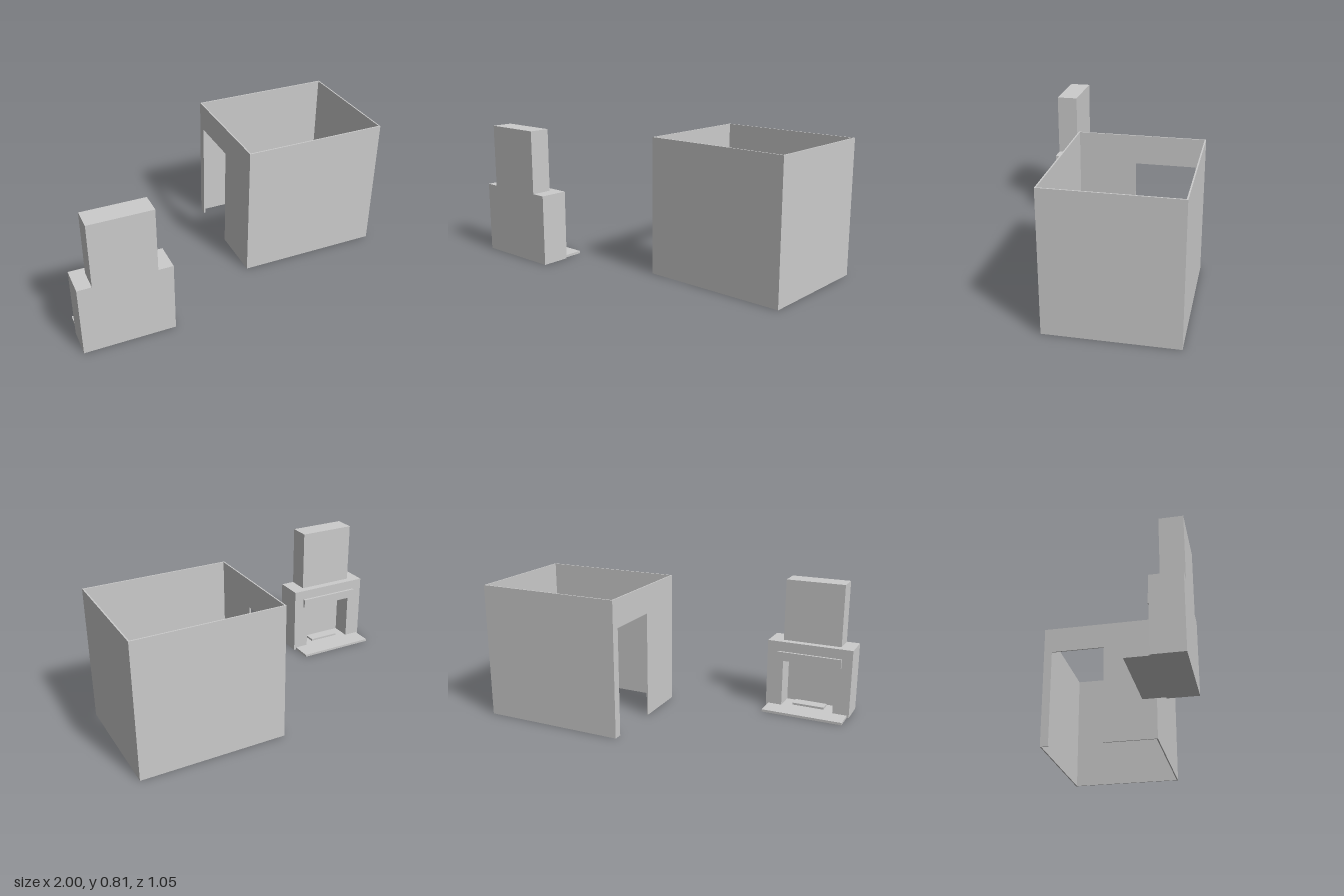
import * as THREE from 'three';

const material = new THREE.MeshStandardMaterial({ color: 0xcccccc, flatShading: true });

// Box given by its min and max along each axis
function box(name, [x0, x1], [y0, y1], [z0, z1]) {
  const mesh = new THREE.Mesh(new THREE.BoxGeometry(x1 - x0, y1 - y0, z1 - z0), material);
  mesh.position.set((x0 + x1) / 2, (y0 + y1) / 2, (z0 + z1) / 2);
  mesh.name = name;
  return mesh;
}

// Upright slab from a0 to a1 with a doorway from b0 to b1, open at the ground
function archSlab(a0, a1, height, b0, b1, openHeight, depth) {
  const points = [[a0, 0], [b0, 0], [b0, openHeight], [b1, openHeight],
    [b1, 0], [a1, 0], [a1, height], [a0, height]];
  const shape = new THREE.Shape(points.map(([x, y]) => new THREE.Vector2(x, y)));
  return new THREE.ExtrudeGeometry(shape, { depth, bevelEnabled: false });
}

function createRoom() {
  const room = new THREE.Group();
  room.name = 'room';
  const x0 = 0.128, x1 = 1, z0 = -0.527, z1 = 0.208, h = 0.813, t = 0.008;

  room.add(
    box('frontWall', [x0, x1], [0, h], [z1 - t, z1]),
    box('backWall', [x0, x1], [0, h], [z0, z0 + t]),
    box('leftWall', [x1 - t, x1], [0, h], [z0 + t, z1 - t]),
  );

  // Side wall with the doorway
  const geometry = archSlab(z0 + t, z1 - t, h, -0.475, -0.13, 0.645, t);
  geometry.rotateY(-Math.PI / 2);
  const doorWall = new THREE.Mesh(geometry, material);
  doorWall.position.x = x0 + t;
  doorWall.name = 'doorWall';
  room.add(doorWall);
  return room;
}

function createFireplace() {
  const fireplace = new THREE.Group();
  fireplace.name = 'fireplace';
  const x0 = -1, x1 = -0.468, top = 0.43;
  const front = 0.352, fireBack = 0.477, back = 0.527;
  const open0 = -0.898, open1 = -0.57;

  // Surround with the firebox opening, facing -z
  const surround = new THREE.Mesh(
    archSlab(x0, x1, top, open0, open1, 0.31, fireBack - front), material);
  surround.position.z = front;
  surround.name = 'surround';

  fireplace.add(
    surround,
    box('fireboxBack', [x0, x1], [0, top], [fireBack, back]),
    box('fireboxFloor', [open0, open1], [0, 0.015], [front, fireBack]),
    box('hearth', [-0.988, -0.484], [0, 0.015], [0.225, front]),
    box('grate', [-0.834, -0.634], [0.015, 0.028], [0.385, 0.457]),
    box('mantel', [-0.935, -0.535], [0.312, 0.368], [0.337, front]),
    box('chimney', [-0.918, -0.555], [top, 0.813], [0.398, back]),
  );
  return fireplace;
}

export function createModel() {
  const model = new THREE.Group();
  model.name = 'roomAndFireplace';
  model.add(createRoom(), createFireplace());
  return model;
}
